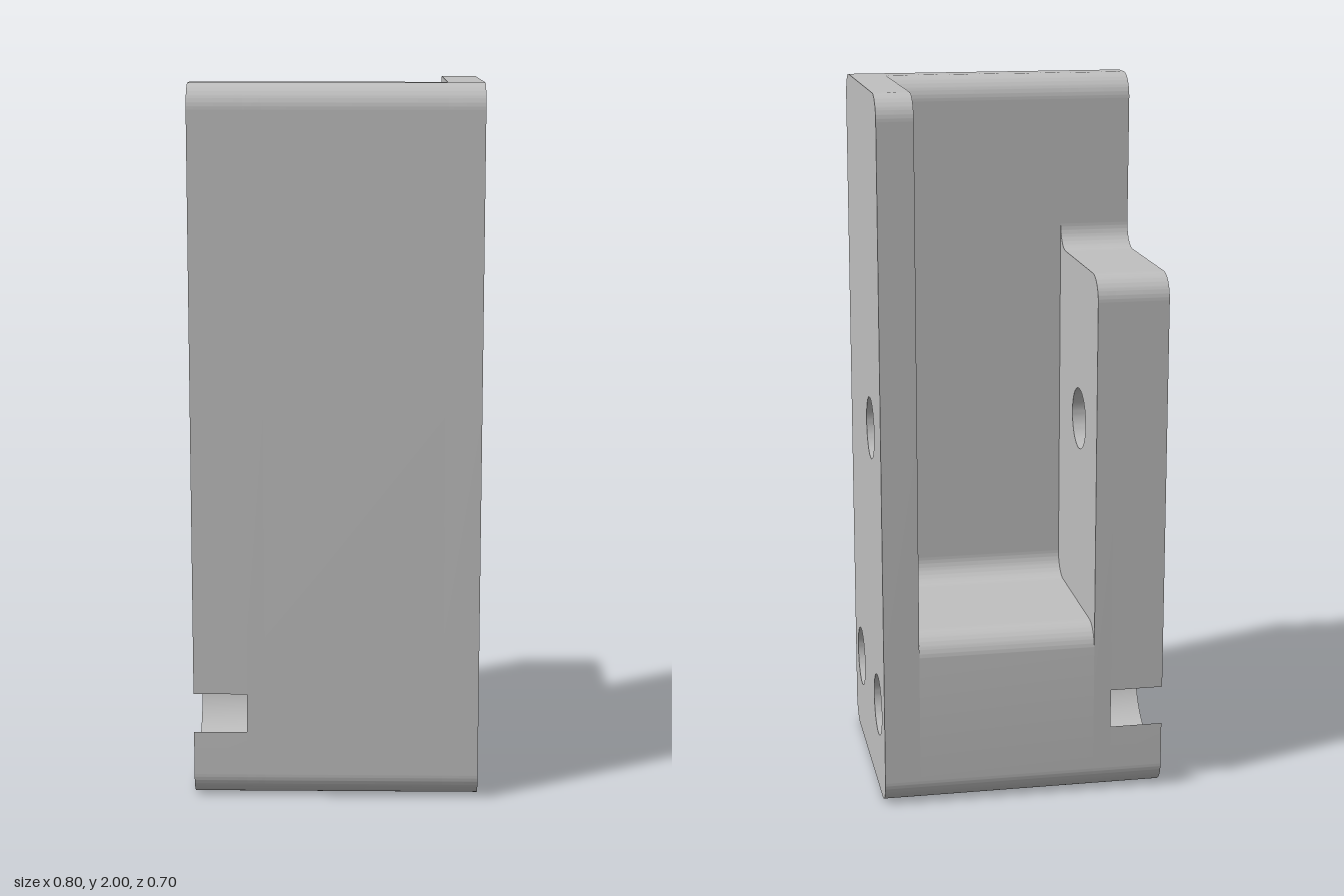
import * as THREE from 'three';
import { toCreasedNormals } from 'three/addons/utils/BufferGeometryUtils.js';

const R = 0.07;          // edge rounding and fillet radius
const BACK = 0.35;       // half depth (profile u axis points to the back)
const TOP = 2;           // overall height
const WALL = -0.15;      // inner face of the front wall
const BORE = 0.0875;     // through-hole radius
const COUNTERBORE = 0.16;
const PI = Math.PI;

const lowerHoles = [[-0.2, 0.25], [0.2, 0.25]];
const upperHole = [0.12, 1.05];

// Side profile: front wall at full height, the rest up to `step`.
// With `bites`, the lower counterbores break out through front and back.
function profile(step, bites = false) {
  const s = new THREE.Shape();
  const a = Math.acos((BACK - 0.2) / COUNTERBORE);
  const e = BACK - R;
  s.moveTo(-e, 0);
  s.lineTo(e, 0);
  s.absarc(e, R, R, -PI / 2, 0, false);
  if (bites) s.absarc(0.2, 0.25, COUNTERBORE, -a, a, true);
  s.absarc(e, step - R, R, 0, PI / 2, false);
  if (step < TOP) {
    s.absarc(WALL + R, step + R, R, -PI / 2, -PI, true);
    s.absarc(WALL - R, TOP - R, R, 0, PI / 2, false);
  }
  s.absarc(-e, TOP - R, R, PI / 2, PI, false);
  if (bites) s.absarc(-0.2, 0.25, COUNTERBORE, PI - a, PI + a, true);
  s.absarc(-e, R, R, PI, 1.5 * PI, false);
  s.closePath();
  return s;
}

function drill(shape, centres, radius) {
  for (const [u, y] of centres) {
    const hole = new THREE.Path();
    hole.absarc(u, y, radius, 0, 2 * PI, true);
    shape.holes.push(hole);
  }
  return shape;
}

export function createModel() {
  const model = new THREE.Group();
  model.name = 'bracket';
  const grey = new THREE.MeshStandardMaterial({ color: 0xc0c0c0 });
  grey.name = 'plain grey';

  // Extrude a side profile across the width from x0 to x1
  function slab(name, shape, x0, x1) {
    const geo = new THREE.ExtrudeGeometry(shape, {
      depth: x1 - x0, bevelEnabled: false, curveSegments: 32,
    });
    geo.rotateY(PI / 2);
    geo.translate(x0, 0, 0);
    const mesh = new THREE.Mesh(toCreasedNormals(geo, 0.5), grey);
    mesh.name = name;
    model.add(mesh);
  }

  const all = [...lowerHoles, upperHole];
  // Tall side plate with three through holes
  slab('sidePlate', drill(profile(TOP), all, BORE), 0.3, 0.4);
  // Pocket floor together with the front wall
  slab('pocketSection', drill(profile(0.5), lowerHoles, BORE), -0.2, 0.3);
  // Lower side wall: thin inner web with small holes
  slab('sideWallInner', drill(profile(1.5), all, BORE), -0.25, -0.2);
  // Lower side wall: outer part with wide counterbores
  slab('sideWallOuter', drill(profile(1.5, true), [upperHole], COUNTERBORE), -0.4, -0.25);

  return model;
}
